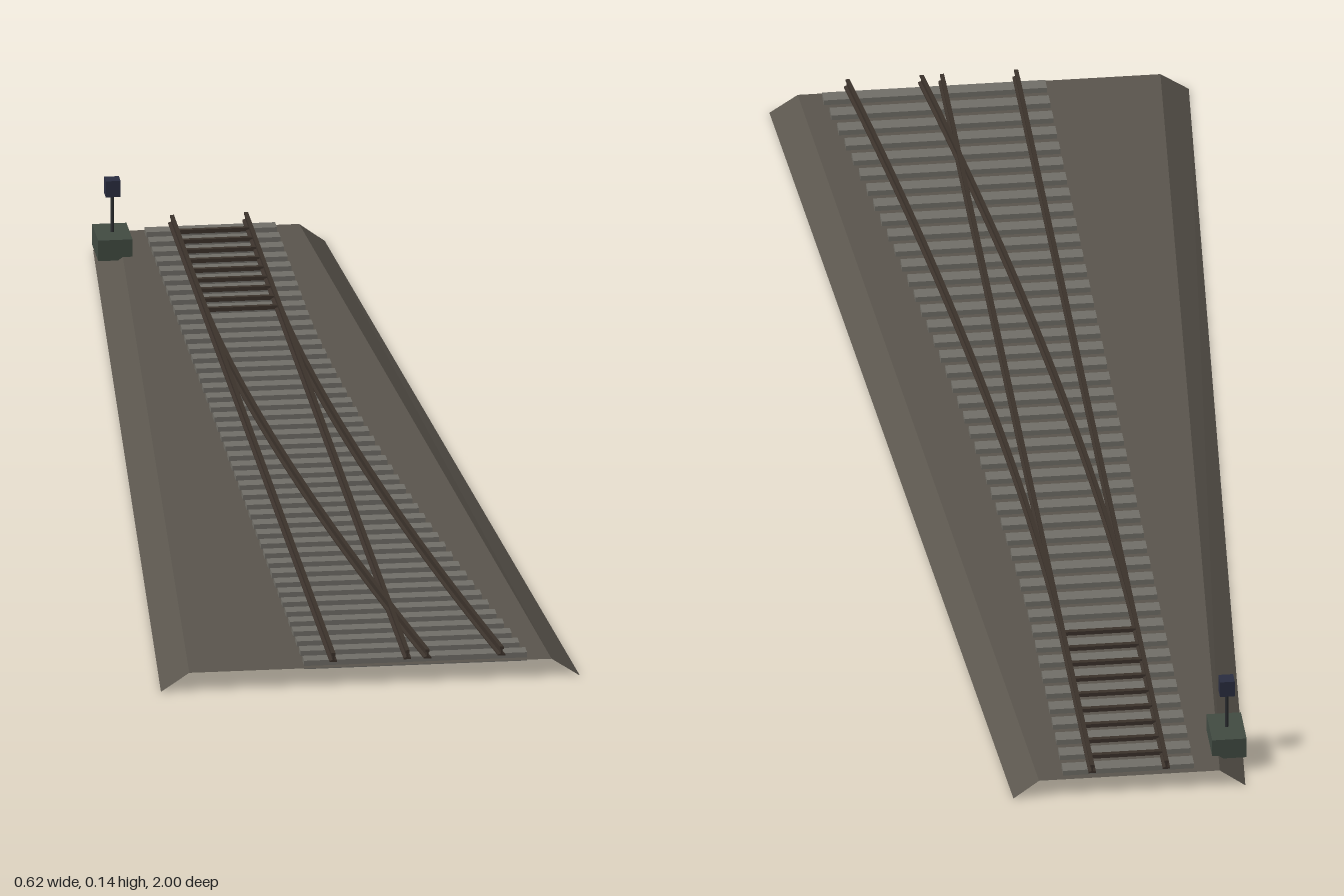
import * as THREE from 'three';
import { toCreasedNormals } from 'three/addons/utils/BufferGeometryUtils.js';

const mat = (color, side = THREE.FrontSide) => new THREE.MeshStandardMaterial({ color, side });
const SWITCH_Z = -0.59, GAUGE = 0.055, SLEEPERS = 45;

// Sideways shift of the diverging track at a given z
const diverge = (z) => 0.14 * Math.pow(Math.max(0, (z - SWITCH_Z) / (1 - SWITCH_Z)), 1.6);

// Rail with foot, web and head, swept along z and bent sideways by a rule
function railGeometry(x, z0, z1, bend) {
  const half = [[0.0055, 0], [0.0055, 0.002], [0.0013, 0.0035], [0.0013, 0.009], [0.003, 0.0105], [0.003, 0.014]];
  const points = [...half, ...half.map(([a, b]) => [-a, b]).reverse()].map(([a, b]) => new THREE.Vector2(a, b));
  const geo = new THREE.ExtrudeGeometry(new THREE.Shape(points), {
    depth: z1 - z0, steps: bend ? 32 : 1, bevelEnabled: false,
  });
  geo.translate(x, 0.036, z0);
  if (bend) {
    const p = geo.attributes.position;
    for (let i = 0; i < p.count; i++) p.setX(i, p.getX(i) + diverge(p.getZ(i)));
  }
  return toCreasedNormals(geo, 0.4);
}

// Open ballast shell: flat top with sloping shoulders, tapering to the back
function ballastGeometry() {
  const section = (z, base, top) => [[-base, 0, z], [-top, 0.028, z], [top, 0.028, z], [base, 0, z]];
  const front = section(1, 0.311, 0.269), back = section(-1, 0.172, 0.134);
  const pos = [];
  for (let i = 0; i < 3; i++) {
    pos.push(...front[i], ...front[i + 1], ...back[i + 1], ...front[i], ...back[i + 1], ...back[i]);
  }
  const geo = new THREE.BufferGeometry();
  geo.setAttribute('position', new THREE.Float32BufferAttribute(pos, 3));
  geo.computeVertexNormals();
  return geo;
}

export function createModel() {
  const model = new THREE.Group();
  model.name = 'railwayTurnout';
  const add = (name, geo, material, parent = model, x = 0, y = 0, z = 0) => {
    const mesh = new THREE.Mesh(geo, material);
    mesh.name = name;
    mesh.position.set(x, y, z);
    parent.add(mesh);
    return mesh;
  };
  const group = (name) => {
    const g = new THREE.Group();
    g.name = name;
    model.add(g);
    return g;
  };

  add('ballast', ballastGeometry(), mat(0x5a554d, THREE.DoubleSide));

  // Sleepers lengthen to the left as the tracks part
  const sleepers = group('sleepers');
  const sleeperMat = mat(0x716f68);
  const pitch = 2 / SLEEPERS;
  for (let i = 0; i < SLEEPERS; i++) {
    const z = -1 + pitch * (i + 0.5);
    const right = -0.097, left = 0.097 + diverge(z);
    add('sleeper', new THREE.BoxGeometry(left - right, 0.013, 0.023), sleeperMat, sleepers,
      (left + right) / 2, 0.0295, z);
  }

  // Straight and diverging rails
  const rails = group('rails');
  const railMat = mat(0x3b322b);
  for (const side of [-1, 1]) {
    add('straightRail', railGeometry(side * GAUGE, -1, 1, false), railMat, rails);
    add('divergingRail', railGeometry(side * GAUGE, SWITCH_Z, 1, true), railMat, rails);
  }

  // Cross bars between the rails ahead of the switch
  const bars = group('crossBars');
  const barGeo = new THREE.BoxGeometry(2 * GAUGE, 0.006, 0.007);
  for (let i = 1; i <= 9; i++) {
    add('crossBar', barGeo, railMat, bars, 0, 0.039, -1 + pitch * i);
  }

  // Switch machine with its indicator lamp
  const machine = group('switchMachine');
  machine.position.set(-0.153, 0, -0.92);
  add('machineBox', new THREE.BoxGeometry(0.051, 0.032, 0.076), mat(0x414b42), machine, 0, 0.039, 0);
  add('lampPost', new THREE.CylinderGeometry(0.0025, 0.0025, 0.06, 8), mat(0x2b2d30), machine, 0, 0.084, 0);
  add('lampHead', new THREE.BoxGeometry(0.022, 0.025, 0.022), mat(0x2a2d40), machine, 0, 0.125, 0);

  return model;
}
